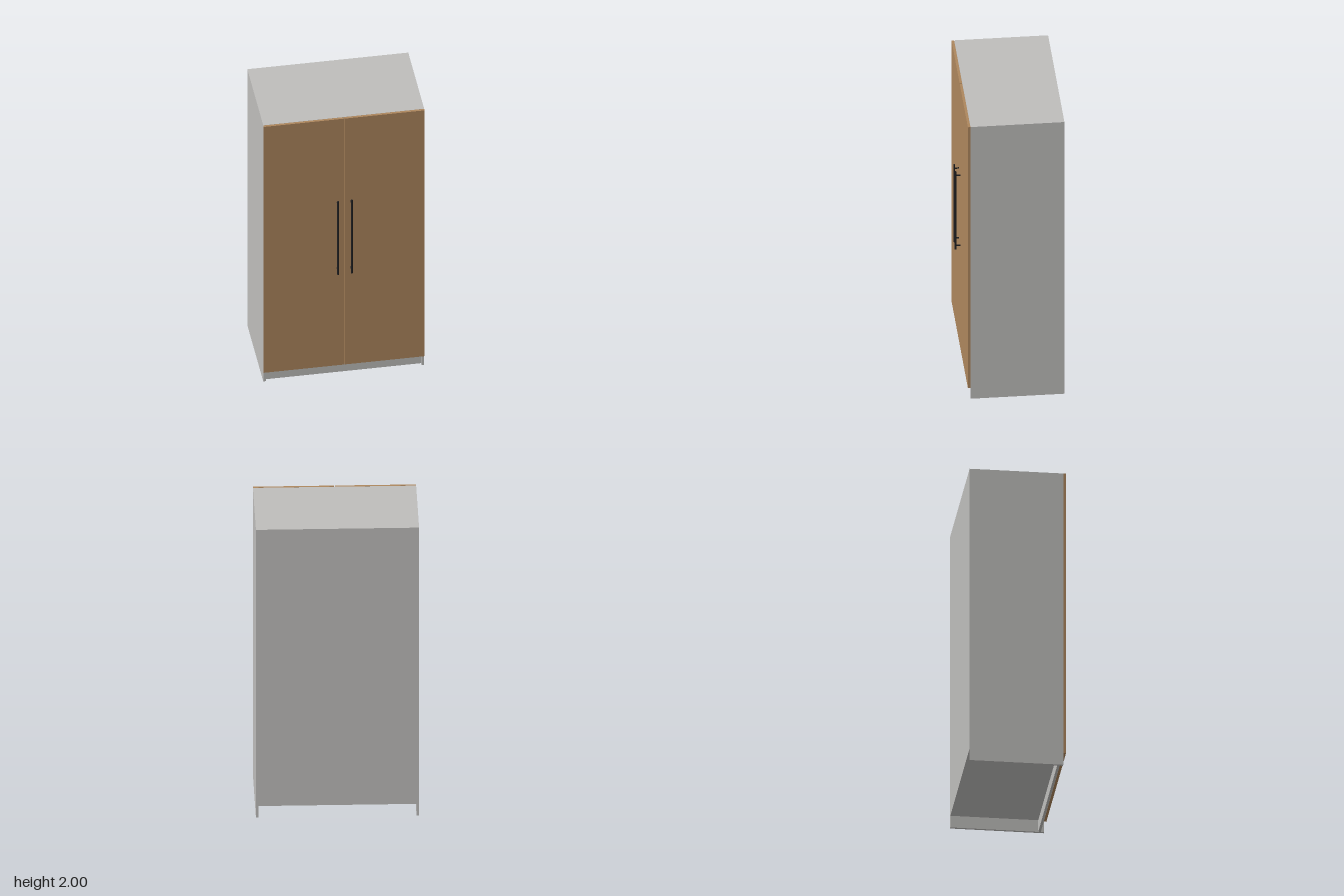
import * as THREE from 'three';

export function createModel() {
  const model = new THREE.Group();
  const material = (name, color) => {
    const m = new THREE.MeshStandardMaterial({ color });
    m.name = name;
    return m;
  };
  const panelGrey = material('panelGrey', 0xbebdbb);
  const wood = material('wood', 0xad865d);
  const black = material('blackMetal', 0x1e1e20);

  const W = 0.508, T = 0.016, BACK = -0.32, FRONT = 0.267, BASE = 0.08, H = 2;

  // Box given by its lower and upper corners
  const panel = (name, mat, [x0, y0, z0], [x1, y1, z1]) => {
    const mesh = new THREE.Mesh(new THREE.BoxGeometry(x1 - x0, y1 - y0, z1 - z0), mat);
    mesh.position.set((x0 + x1) / 2, (y0 + y1) / 2, (z0 + z1) / 2);
    mesh.name = name;
    model.add(mesh);
  };
  const rod = (name, radius, length, parent) => {
    const mesh = new THREE.Mesh(new THREE.CylinderGeometry(radius, radius, length, 20), black);
    mesh.name = name;
    parent.add(mesh);
    return mesh;
  };

  // Carcass
  const inner = W - T;
  panel('rightSide', panelGrey, [-W, 0, BACK], [-inner, H, FRONT]);
  panel('leftSide', panelGrey, [inner, 0, BACK], [W, H, FRONT]);
  panel('top', panelGrey, [-inner, H - T, BACK], [inner, H, FRONT]);
  panel('bottom', panelGrey, [-inner, BASE, BACK], [inner, BASE + T, FRONT]);
  panel('back', panelGrey, [-inner, BASE + T, BACK], [inner, H - T, BACK + T]);
  panel('plinth', panelGrey, [-inner, 0, 0.231], [inner, BASE, 0.247]);

  // Doors, with a narrow gap between them
  panel('rightDoor', wood, [-W, BASE, 0.268], [-0.002, H, 0.284]);
  panel('leftDoor', wood, [0.002, BASE, 0.268], [W, H, 0.284]);

  // Bar handles on two posts
  for (const side of [-1, 1]) {
    const handle = new THREE.Group();
    handle.name = side < 0 ? 'rightHandle' : 'leftHandle';
    handle.position.x = side * 0.043;
    rod('handleBar', 0.006, 0.57, handle).position.set(0, 1.097, 0.314);
    for (const y of [0.84, 1.354]) {
      const post = rod('handlePost', 0.0045, 0.03, handle);
      post.rotation.x = Math.PI / 2;
      post.position.set(0, y, 0.299);
    }
    model.add(handle);
  }
  return model;
}
